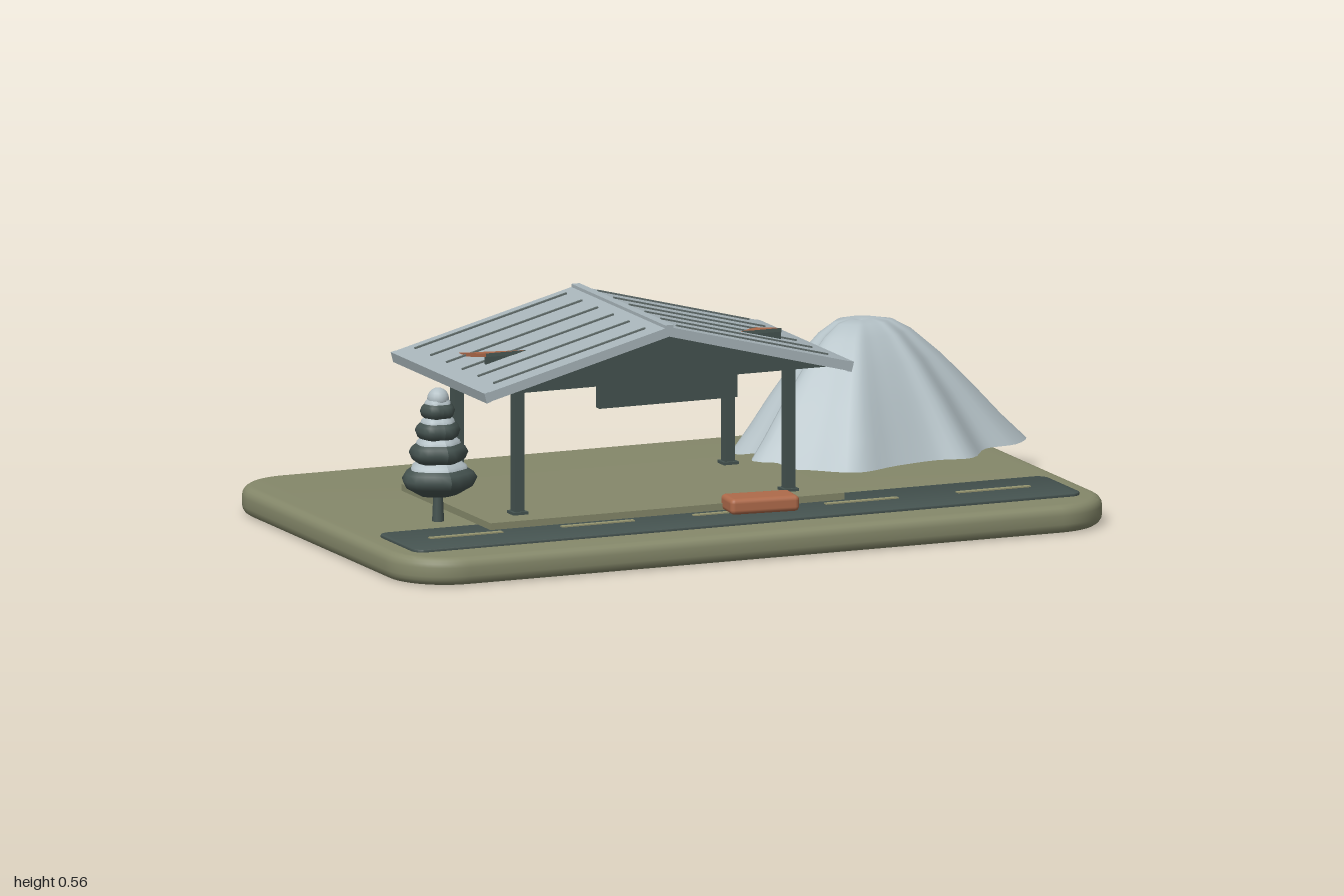
import * as THREE from 'three';
import { RoundedBoxGeometry } from 'three/addons/geometries/RoundedBoxGeometry.js';
import { toCreasedNormals } from 'three/addons/utils/BufferGeometryUtils.js';

const mat = (name, color) => new THREE.MeshStandardMaterial({ name, color });

function roundedRect(x0, x1, z0, z1, r) {
  const s = new THREE.Shape();
  s.absarc(x1 - r, z1 - r, r, 0, Math.PI / 2);
  s.absarc(x0 + r, z1 - r, r, Math.PI / 2, Math.PI);
  s.absarc(x0 + r, z0 + r, r, Math.PI, Math.PI * 1.5);
  s.absarc(x1 - r, z0 + r, r, Math.PI * 1.5, Math.PI * 2);
  s.closePath();
  return s;
}

function polygon(points) {
  return new THREE.Shape(points.map(p => new THREE.Vector2(...p)));
}

export function createModel() {
  const olive = mat('olive ground', 0x85886a);
  const dark = mat('dark slate', 0x455350);
  const pale = mat('pale metal', 0xa8b5ba);
  const snow = mat('snow', 0xb3c0c5);
  const rust = mat('rust', 0xae6a4a);
  const paint = mat('road paint', 0x969570);
  const seamGrey = mat('seam grey', 0x65716f);
  const model = new THREE.Group();

  const add = (name, geo, material, x = 0, y = 0, z = 0, parent = model) => {
    const m = new THREE.Mesh(geo, material);
    m.name = name;
    m.position.set(x, y, z);
    parent.add(m);
    return m;
  };
  // box given by its limits on each axis
  const box = (name, material, x0, x1, y0, y1, z0, z1) =>
    add(name, new THREE.BoxGeometry(x1 - x0, y1 - y0, z1 - z0), material,
      (x0 + x1) / 2, (y0 + y1) / 2, (z0 + z1) / 2);
  // flat rounded plate lying on the ground
  const plate = (name, material, x0, x1, z0, z1, r, y0, y1, bevel) => {
    const b = bevel;
    const g = new THREE.ExtrudeGeometry(roundedRect(x0 + b, x1 - b, z0 + b, z1 - b, r - b), {
      depth: y1 - y0 - 2 * b, bevelEnabled: b > 0, bevelSize: b, bevelThickness: b,
      bevelSegments: 4, curveSegments: 8,
    });
    g.rotateX(-Math.PI / 2);
    const flip = -(z0 + z1);
    g.translate(0, y0 + b, -flip);
    return add(name, toCreasedNormals(g, 0.6), material);
  };

  // ground and road
  plate('groundBase', olive, -1, 0.91, -0.58, 0.575, 0.16, 0, 0.07, 0.024);
  plate('road', dark, -0.94, 0.85, 0.23, 0.47, 0.03, 0.066, 0.077, 0.002);
  for (let i = 0; i < 5; i++) {
    const x = -0.85 + i * 0.354;
    box('roadDash', paint, x, x + 0.195, 0.076, 0.08, 0.338, 0.353);
  }

  // shelter floor and posts
  box('shelterFloor', olive, -0.67, 0.28, 0.077, 0.094, -0.23, 0.31);
  for (const x of [-0.56, 0.167]) for (const z of [-0.142, 0.225]) {
    box('post', dark, x - 0.013, x + 0.013, 0.09, 0.43, z - 0.013, z + 0.013);
    box('postFoot', dark, x - 0.02, x + 0.02, 0.093, 0.101, z - 0.02, z + 0.02);
  }
  box('frontBeam', rust, -0.56, 0.175, 0.402, 0.425, 0.217, 0.233);
  box('hangingSign', dark, -0.38, -0.01, 0.358, 0.43, 0.295, 0.315);

  // gable roof
  const cx = -0.197, zBack = -0.245, zFront = 0.325;
  const extrudeZ = (points, z0, z1) => {
    const g = new THREE.ExtrudeGeometry(polygon(points), { depth: z1 - z0, bevelEnabled: false });
    return g.translate(cx, 0, z0);
  };
  add('roofPanels', extrudeZ([[0, 0.55], [-0.493, 0.423], [-0.487, 0.4], [0, 0.526], [0.487, 0.4],
    [0.493, 0.423]].map(([x, y]) => [x, y]), zBack, zFront), pale);
  add('gable', extrudeZ([[-0.425, 0.415], [0.425, 0.415], [0, 0.527]], zBack + 0.01, zFront - 0.008), dark);
  box('ridgeCap', pale, cx - 0.011, cx + 0.011, 0.54, 0.555, zBack, zFront);
  const slope = Math.atan2(0.127, 0.493);
  for (const side of [-1, 1]) {
    // thin standing seams down each slope
    for (let i = 0; i < 6; i++) {
      const seam = add('roofSeam', new THREE.BoxGeometry(0.42, 0.006, 0.006), seamGrey,
        cx + side * 0.245, 0.55 - 0.245 * Math.tan(slope) + 0.001, -0.205 + i * 0.0955);
      seam.rotation.z = -side * slope;
    }
    // eave edge
    const eave = add('eaveTrim', new THREE.BoxGeometry(0.012, 0.026, zFront - zBack), pale,
      cx + side * 0.487, 0.412, (zFront + zBack) / 2);
    eave.rotation.z = -side * slope;
    // loose rusty sheet lifted at the front
    const sheet = add('looseSheet', new THREE.BoxGeometry(0.19, 0.009, 0.175),
      [rust, rust, rust, dark, dark, dark], cx + side * 0.302, 0.457, 0.023);
    sheet.rotation.x = -0.17;
    box('sheetUpstand', dark, cx + side * 0.302 - 0.094, cx + side * 0.302 + 0.094,
      0.446, 0.472, 0.1, 0.107);
  }

  // rusty crate on the road
  add('crate', new RoundedBoxGeometry(0.178, 0.04, 0.09, 3, 0.012), rust, 0.038, 0.096, 0.345)
    .rotation.y = -0.1;

  // tiered tree with snow on each tier
  const tree = new THREE.Group();
  tree.name = 'tree';
  tree.position.set(-0.727, 0, 0.12);
  model.add(tree);
  add('trunk', new THREE.CylinderGeometry(0.011, 0.015, 0.09, 10), dark, 0, 0.112, 0, tree);
  const tiers = [[0.09, 0.13, 0.225], [0.07, 0.2, 0.285], [0.054, 0.26, 0.335], [0.042, 0.315, 0.38]];
  const lumpy = (profile, phase) => {
    const g = new THREE.LatheGeometry(profile.map(p => new THREE.Vector2(...p)), 24);
    const p = g.attributes.position;
    for (let i = 0; i < p.count; i++) {
      const a = Math.atan2(p.getZ(i), p.getX(i));
      const k = 1 + 0.05 * Math.sin(5 * a + phase) + 0.05 * Math.cos(2 * a);
      p.setX(i, p.getX(i) * k);
      p.setZ(i, p.getZ(i) * (k - 0.05));
    }
    g.computeVertexNormals();
    return g;
  };
  tiers.forEach(([r, y0, y1], i) => {
    const h = y1 - y0, at = (a, b) => [r * a, y0 + h * b];
    add('foliage', lumpy([at(0, 0), at(0.5, 0.07), at(0.9, 0.3), at(1, 0.5), at(0.9, 0.66), at(0.72, 0.78)], i), dark, 0, 0, 0, tree);
    add('snowCap', lumpy([at(0.76, 0.74), at(0.72, 0.84), at(0.5, 1), at(0, 1.1)], i), snow, 0, 0, 0, tree);
  });
  add('treeTop', new THREE.SphereGeometry(0.027, 16, 10), snow, 0, 0.377, 0, tree);

  // snowy mound: outline rings rising to a short flat crest
  const outline = new THREE.CatmullRomCurve3([[0.3, -0.24], [0.255, -0.32], [0.33, -0.41], [0.42, -0.51],
    [0.56, -0.53], [0.67, -0.515], [0.73, -0.45], [0.82, -0.39], [1, -0.23], [0.94, -0.14], [0.85, -0.12],
    [0.77, -0.025], [0.68, -0.035], [0.56, -0.01], [0.44, 0.03], [0.34, -0.05], [0.22, -0.14]]
    .map(([x, z]) => new THREE.Vector3(x, 0, z)), true).getPoints(68).slice(0, 68);
  const rings = [[1, 0], [0.85, 0.2], [0.7, 0.42], [0.5, 0.69], [0.32, 0.89], [0.2, 0.975], [0.1, 0.995], [0, 0.97]];
  const n = outline.length, pos = [], idx = [];
  rings.forEach(([t, h], j) => outline.forEach((p, i) => {
    const dx = p.x - 0.585, dz = p.z + 0.28;
    // the grooves soften toward the top
    const a = Math.atan2(dz, dx), soft = 1 - t;
    const bx = Math.cos(a) * 0.37, bz = Math.sin(a) * 0.28;
    pos.push(0.585 + t * THREE.MathUtils.lerp(dx, bx, soft * 0.5), 0.08 + 0.322 * h,
      -0.28 + t * THREE.MathUtils.lerp(dz, bz, soft * 0.5));
    if (j) {
      const k = (i + 1) % n, b = (j - 1) * n, c = j * n;
      idx.push(b + i, c + i, b + k, b + k, c + i, c + k);
    }
  }));
  // outline order decides which way the faces wind
  const area = outline.reduce((s, p, i) => s + p.x * outline[(i + 1) % n].z - outline[(i + 1) % n].x * p.z, 0);
  if (area < 0) for (let i = 0; i < idx.length; i += 3) [idx[i + 1], idx[i + 2]] = [idx[i + 2], idx[i + 1]];
  const mound = new THREE.BufferGeometry();
  mound.setAttribute('position', new THREE.Float32BufferAttribute(pos, 3));
  mound.setIndex(idx);
  mound.computeVertexNormals();
  add('snowMound', mound, snow);

  return model;
}
